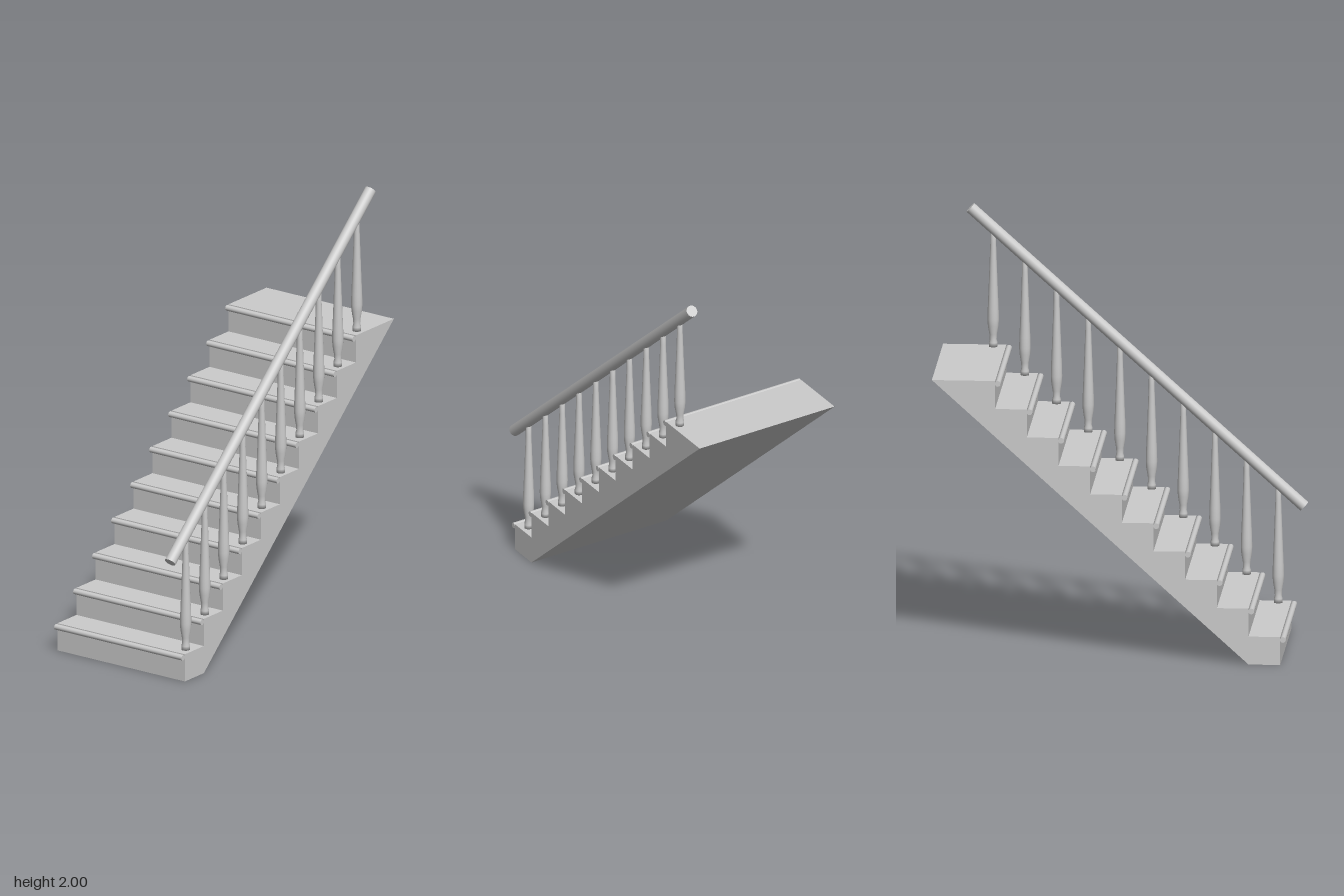
import * as THREE from 'three';

const STEPS = 10, RISE = 0.1323, RUN = 0.1464, WIDTH = 0.733;
const FRONT = 0.765, BACK = -0.845, RAIL_X = 0.328;

export function createModel() {
  const group = new THREE.Group();
  const material = new THREE.MeshStandardMaterial({ color: 0xcccccc });
  const add = (name, geometry, x = 0, y = 0, z = 0) => {
    const mesh = new THREE.Mesh(geometry, material);
    mesh.name = name;
    mesh.position.set(x, y, z);
    group.add(mesh);
    return mesh;
  };

  // Stair body: stepped side profile (drawn in -z, y) with a sloping underside
  const profile = new THREE.Shape();
  profile.moveTo(-FRONT, 0);
  for (let i = 0; i < STEPS; i++) {
    const s = -FRONT + i * RUN;
    profile.lineTo(s, (i + 1) * RISE);
    profile.lineTo(i < STEPS - 1 ? s + RUN : -BACK, (i + 1) * RISE);
  }
  profile.lineTo(-FRONT + RUN, 0);
  const body = new THREE.ExtrudeGeometry(profile, { depth: WIDTH, bevelEnabled: false });
  body.translate(0, 0, -WIDTH / 2).rotateY(Math.PI / 2);
  add('stairBody', body);

  // Rounded nosing along the front edge of each tread
  const nosing = new THREE.CylinderGeometry(0.0135, 0.0135, WIDTH, 16).rotateZ(Math.PI / 2);

  // Turned baluster: small foot, full belly, long taper up into the rail
  const baluster = new THREE.LatheGeometry([
    [0, 0], [0.02, 0], [0.02, 0.02], [0.016, 0.035], [0.018, 0.06],
    [0.025, 0.1], [0.0265, 0.13], [0.0255, 0.18], [0.022, 0.26],
    [0.0175, 0.38], [0.0135, 0.49], [0.0125, 0.56], [0, 0.56],
  ].map(([r, y]) => new THREE.Vector2(r, y)), 16);

  for (let i = 0; i < STEPS; i++) {
    const top = (i + 1) * RISE, z = FRONT - i * RUN;
    add('nosing', nosing, 0, top - 0.0135, z + 0.0125);
    add('baluster', baluster, RAIL_X, top, z - 0.058);
  }

  // Round handrail parallel to the flight
  const low = new THREE.Vector3(RAIL_X, 0.59, 0.827);
  const high = new THREE.Vector3(RAIL_X, 1.98, -0.716);
  const along = high.clone().sub(low);
  const rail = add('handrail', new THREE.CylinderGeometry(0.027, 0.027, along.length(), 24));
  rail.position.copy(low).add(high).multiplyScalar(0.5);
  rail.quaternion.setFromUnitVectors(new THREE.Vector3(0, 1, 0), along.normalize());

  return group;
}
